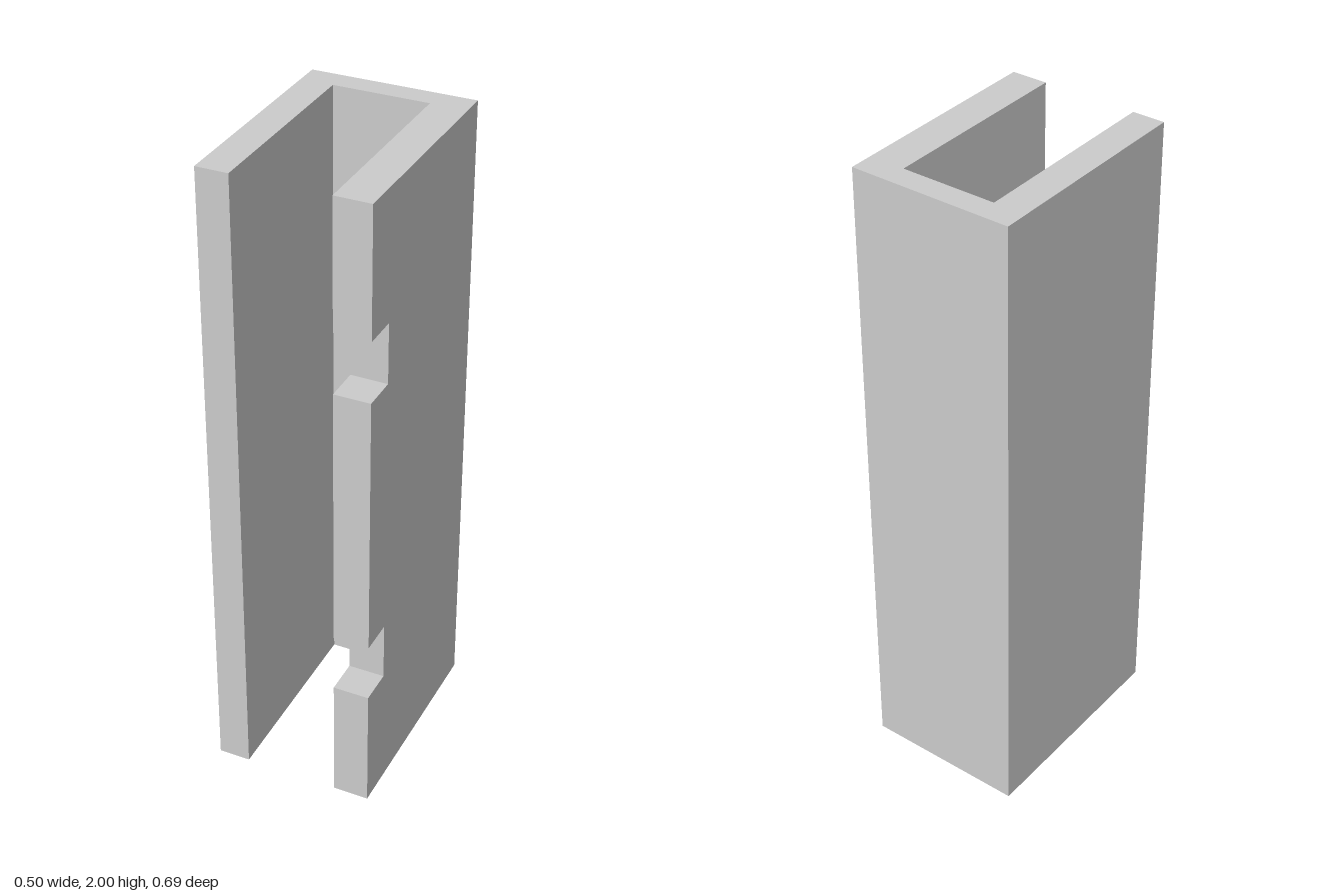
import * as THREE from 'three';

const HEIGHT = 2, HALF_W = 0.251, HALF_D = 0.345;
const INNER_RIGHT = -0.152, INNER_LEFT = 0.14, INNER_BACK = -0.272;
const NOTCH_Z = 0.236;
const NOTCHES = [[0.4, 0.588], [1.417, 1.605]];

const material = new THREE.MeshStandardMaterial({ color: 0xcccccc, flatShading: true });

// Side wall: a z-y outline with optional front-edge notches, extruded along x
function sideWall(name, xMin, xMax, notches) {
  const shape = new THREE.Shape();
  shape.moveTo(-HALF_D, 0);
  shape.lineTo(HALF_D, 0);
  for (const [low, high] of notches) {
    shape.lineTo(HALF_D, low);
    shape.lineTo(NOTCH_Z, low);
    shape.lineTo(NOTCH_Z, high);
    shape.lineTo(HALF_D, high);
  }
  shape.lineTo(HALF_D, HEIGHT);
  shape.lineTo(-HALF_D, HEIGHT);
  shape.closePath();
  const geometry = new THREE.ExtrudeGeometry(shape, { depth: xMax - xMin, bevelEnabled: false });
  geometry.rotateY(-Math.PI / 2).translate(xMax, 0, 0);
  const mesh = new THREE.Mesh(geometry, material);
  mesh.name = name;
  return mesh;
}

export function createModel() {
  const model = new THREE.Group();
  model.name = 'notchedChannel';

  // Two side walls; only the left one is notched
  model.add(sideWall('rightWall', -HALF_W, INNER_RIGHT, []));
  model.add(sideWall('leftWall', INNER_LEFT, HALF_W, NOTCHES));

  // Back wall between them
  const backDepth = INNER_BACK + HALF_D;
  const back = new THREE.Mesh(
    new THREE.BoxGeometry(INNER_LEFT - INNER_RIGHT, HEIGHT, backDepth), material);
  back.position.set((INNER_LEFT + INNER_RIGHT) / 2, HEIGHT / 2, -HALF_D + backDepth / 2);
  back.name = 'backWall';
  model.add(back);

  return model;
}
